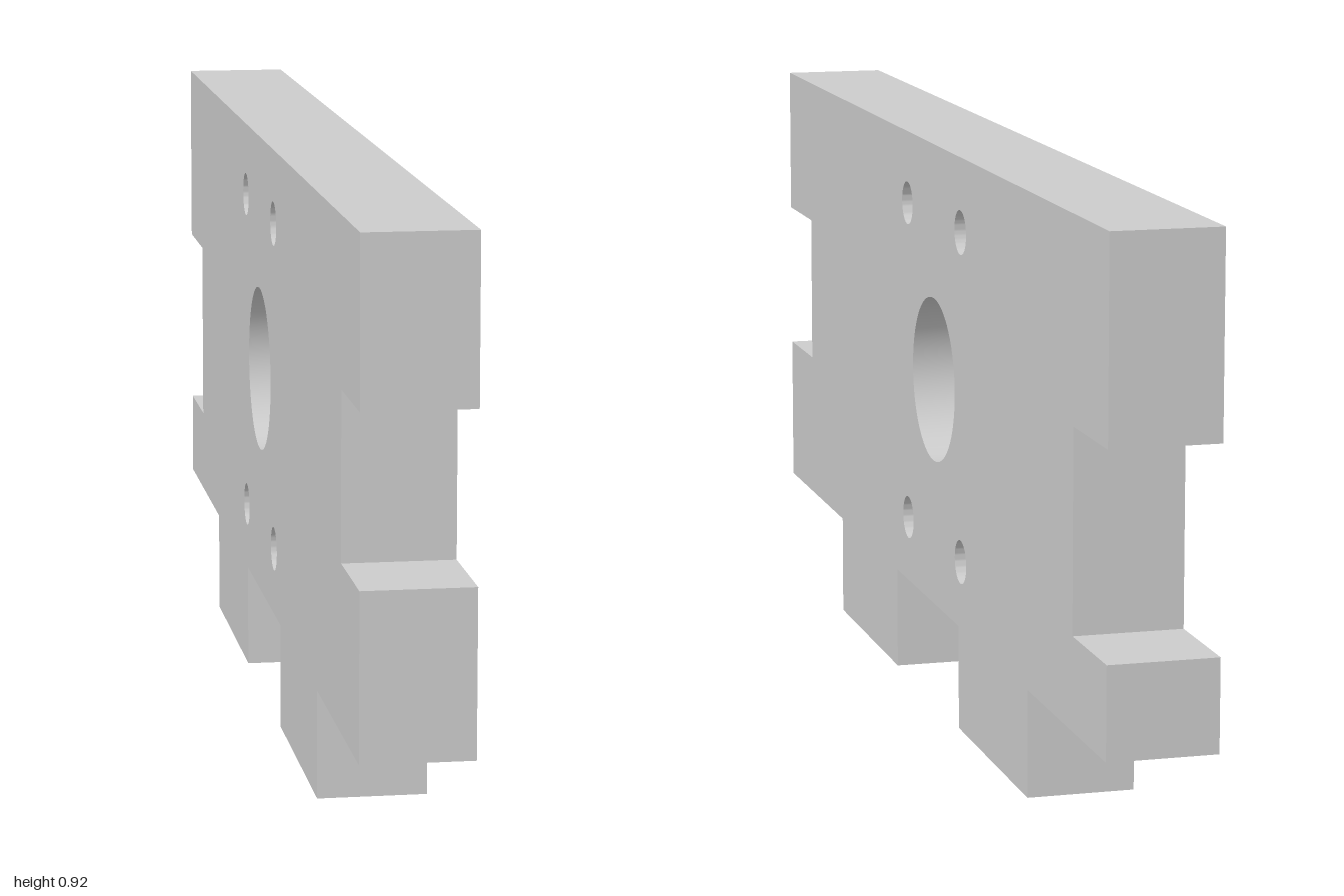
import * as THREE from 'three';
import { toCreasedNormals } from 'three/addons/utils/BufferGeometryUtils.js';

const THICKNESS = 0.167;

// Plate outline seen from the side: u runs to the back (-z), v runs up
const OUTLINE = [
  [-1, 0.167], [-0.6, 0.167], [-0.6, 0], [-0.2, 0], [-0.2, 0.167],   // front foot tab
  [0.2, 0.167], [0.2, 0], [0.6, 0], [0.6, 0.167], [1, 0.167],        // back foot tab
  [1, 0.308], [0.833, 0.308], [0.833, 0.614], [1, 0.614],            // back notch
  [1, 0.918], [-1, 0.918],                                           // top edge
  [-1, 0.669], [-0.833, 0.669], [-0.833, 0.417], [-1, 0.417],        // front notch
];

function addHole(shape, u, v, radius) {
  shape.holes.push(new THREE.Path().absarc(u, v, radius, 0, Math.PI * 2, true));
}

export function createModel() {
  const shape = new THREE.Shape(OUTLINE.map(([u, v]) => new THREE.Vector2(u, v)));

  // Central bore with four screw holes around it
  const cu = 0.044, cv = 0.537;
  addHole(shape, cu, cv, 0.133);
  for (const su of [-1, 1])
    for (const sv of [-1, 1])
      addHole(shape, cu + su * 0.167, cv + sv * 0.263, 0.035);

  // Extrude through the thickness, then turn the plate to lie along z
  const geometry = new THREE.ExtrudeGeometry(shape, {
    depth: THICKNESS, bevelEnabled: false, curveSegments: 32,
  });
  geometry.translate(0, 0, -THICKNESS / 2).rotateY(Math.PI / 2);

  const plate = new THREE.Mesh(
    toCreasedNormals(geometry, Math.PI / 6),
    new THREE.MeshStandardMaterial({ color: 0xcccccc })
  );
  plate.name = 'mountingPlate';

  const model = new THREE.Group();
  model.name = 'motorMountPlate';
  model.add(plate);
  return model;
}
